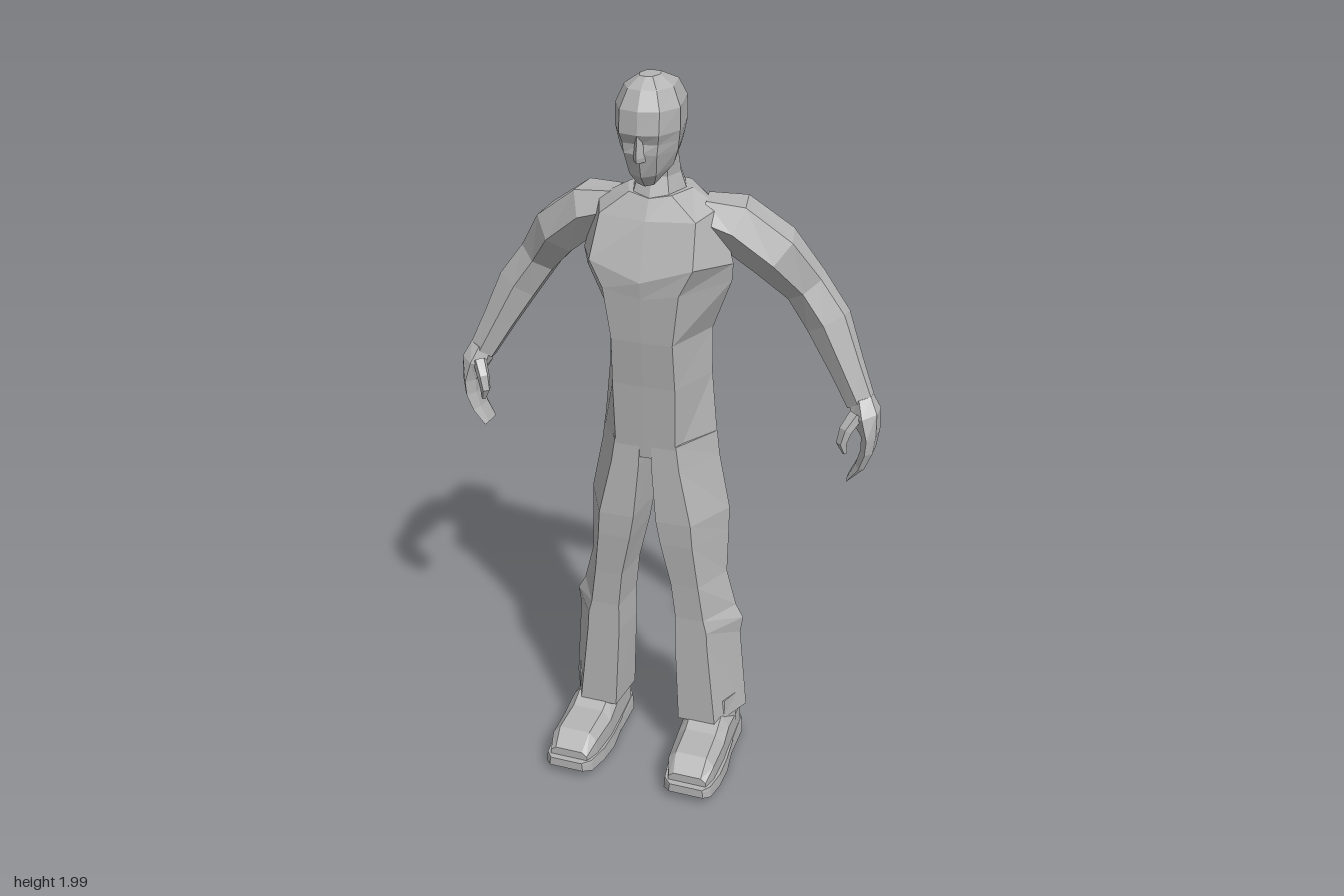
import * as THREE from 'three';

const grey = new THREE.MeshStandardMaterial({ color: 0xb4b4b4, flatShading: true });
grey.name = 'plain grey';

// Skin a list of equal-length point rings, cap both ends, and face it outwards
function loft(name, rings) {
  const n = rings[0].length, tris = [];
  for (let r = 0; r < rings.length - 1; r++) {
    for (let i = 0; i < n; i++) {
      const j = (i + 1) % n;
      const a = rings[r][i], b = rings[r][j], c = rings[r + 1][j], d = rings[r + 1][i];
      tris.push([a, b, c], [a, c, d]);
    }
  }
  [rings[0], rings[rings.length - 1]].forEach((ring, end) => {
    const mid = ring.reduce((s, p) => s.add(p), new THREE.Vector3()).divideScalar(n);
    for (let i = 0; i < n; i++) {
      const a = ring[i], b = ring[(i + 1) % n];
      tris.push(end ? [a, b, mid] : [b, a, mid]);
    }
  });
  const volume = tris.reduce((s, [a, b, c]) => s + a.dot(b.clone().cross(c)), 0);
  const points = tris.flatMap(([a, b, c]) => (volume < 0 ? [a, c, b] : [a, b, c]));
  const geometry = new THREE.BufferGeometry().setFromPoints(points);
  geometry.computeVertexNormals();
  const mesh = new THREE.Mesh(geometry, grey);
  mesh.name = name;
  return mesh;
}

// Symmetric horizontal ring: half outline of [x, z, rise] from front to back
function mirrorRing(y, half) {
  const right = half.map(([x, z, rise = 0]) => new THREE.Vector3(x, y + rise, z));
  const left = right.filter(p => p.x > 0).reverse().map(p => new THREE.Vector3(-p.x, p.y, p.z));
  return [...right, ...left];
}

// Limb along stations [x, y, z, thickness, depth], both as half sizes
function limb(name, stations, sides = 6) {
  const centres = stations.map(s => new THREE.Vector3(s[0], s[1], s[2]));
  return loft(name, stations.map((s, k) => {
    const dir = centres[Math.min(k + 1, centres.length - 1)].clone()
      .sub(centres[Math.max(k - 1, 0)]).normalize();
    const side = new THREE.Vector3().crossVectors(dir, new THREE.Vector3(0, 0, 1)).normalize();
    const deep = new THREE.Vector3().crossVectors(side, dir);
    return Array.from({ length: sides }, (_, i) => {
      const t = (i / sides) * Math.PI * 2;
      return centres[k].clone()
        .addScaledVector(deep, Math.cos(t) * s[4])
        .addScaledVector(side, Math.sin(t) * s[3] * 1.12);
    });
  }));
}

// Shoe piece along z: [z, centre x, bottom y, top y, bottom half width, top half width]
function shoePart(name, rows) {
  return loft(name, rows.map(([z, x, y0, y1, w0, w1]) => {
    const shoulder = y1 - (y1 - y0) * 0.3;
    return [[-w0, y0], [w0, y0], [w0 * 0.98, shoulder], [w1, y1], [-w1, y1], [-w0 * 0.98, shoulder]]
      .map(([dx, y]) => new THREE.Vector3(x + dx, y, z));
  }));
}

function makeArm() {
  const arm = new THREE.Group();
  arm.add(limb('sleeve', [
    [0.11, 1.635, -0.09, 0.045, 0.07], [0.19, 1.615, -0.105, 0.065, 0.085],
    [0.29, 1.54, -0.13, 0.066, 0.08], [0.365, 1.445, -0.168, 0.054, 0.058],
    [0.43, 1.355, -0.163, 0.056, 0.054], [0.485, 1.25, -0.143, 0.044, 0.042],
    [0.535, 1.155, -0.125, 0.036, 0.032],
  ]));
  arm.add(limb('hand', [
    [0.535, 1.17, -0.125, 0.03, 0.03], [0.55, 1.13, -0.12, 0.036, 0.052],
    [0.566, 1.075, -0.122, 0.02, 0.06], [0.563, 1.03, -0.118, 0.017, 0.055],
    [0.548, 0.985, -0.115, 0.014, 0.045], [0.518, 0.942, -0.113, 0.004, 0.036],
  ]));
  arm.add(limb('thumb', [
    [0.53, 1.135, -0.09, 0.018, 0.02], [0.51, 1.1, -0.065, 0.016, 0.018],
    [0.503, 1.065, -0.06, 0.013, 0.016], [0.512, 1.035, -0.065, 0.006, 0.009],
  ], 5));
  return arm;
}

function makeLeg() {
  const leg = new THREE.Group();
  // [y, inner x, front outer x, outer x, front z, side z, back z]
  const rows = [
    [1.03, 0.002, 0.085, 0.16, 0.042, -0.09, -0.133], [0.96, 0.004, 0.095, 0.168, 0.045, -0.09, -0.13],
    [0.8, 0.018, 0.13, 0.2, 0.05, -0.09, -0.132], [0.73, 0.03, 0.135, 0.2, 0.047, -0.088, -0.125],
    [0.6, 0.058, 0.15, 0.2, 0.036, -0.08, -0.108], [0.49, 0.07, 0.165, 0.228, 0.03, -0.085, -0.145],
    [0.45, 0.07, 0.175, 0.25, 0.03, -0.085, -0.155], [0.4, 0.07, 0.178, 0.243, 0.03, -0.085, -0.13],
    [0.14, 0.082, 0.205, 0.264, 0.03, -0.1, -0.145],
  ];
  leg.add(loft('trouserLeg', rows.map(([y, xi, xf, xo, zf, zs, zb]) => [
    [xi + 0.014, zf], [xf, zf], [xo, zs], [xo - 0.05, zb], [xi + 0.045, zb], [xi, zs],
  ].map(([x, z]) => new THREE.Vector3(x, y, z)))));

  leg.add(limb('ankle', [[0.175, 0.2, -0.065, 0.06, 0.075], [0.175, 0.1, -0.065, 0.06, 0.08]], 8));
  leg.add(shoePart('shoeUpper', [
    [-0.155, 0.172, 0.04, 0.12, 0.055, 0.04], [-0.12, 0.172, 0.04, 0.145, 0.07, 0.05],
    [0.0, 0.172, 0.04, 0.155, 0.07, 0.045], [0.06, 0.173, 0.035, 0.13, 0.072, 0.045],
    [0.16, 0.176, 0.04, 0.125, 0.068, 0.045], [0.205, 0.178, 0.045, 0.085, 0.056, 0.04],
  ]));
  leg.add(shoePart('sole', [
    [-0.03, 0.172, 0.015, 0.05, 0.074, 0.074], [0.05, 0.174, 0.003, 0.048, 0.08, 0.078],
    [0.13, 0.176, 0.015, 0.053, 0.08, 0.078], [0.2, 0.178, 0.025, 0.06, 0.07, 0.067],
    [0.223, 0.18, 0.033, 0.06, 0.05, 0.047],
  ]));
  leg.add(shoePart('heel', [
    [-0.175, 0.172, 0.012, 0.06, 0.048, 0.046], [-0.135, 0.172, 0.008, 0.06, 0.074, 0.07],
    [-0.02, 0.172, 0.008, 0.05, 0.074, 0.072],
  ]));
  return leg;
}

export function createModel() {
  const model = new THREE.Group();
  model.name = 'standingFigure';

  // Torso, from hips to the base of the neck, with a V-shaped chest line
  model.add(loft('torso', [
    mirrorRing(0.985, [[0, 0.04], [0.082, 0.04], [0.163, -0.09], [0.1, -0.133], [0, -0.13]]),
    mirrorRing(1.2, [[0, 0.057], [0.085, 0.055], [0.143, -0.09], [0.09, -0.14], [0, -0.14]]),
    mirrorRing(1.33, [[0, 0.073], [0.082, 0.07], [0.142, -0.09], [0.11, -0.165], [0, -0.165]]),
    mirrorRing(1.47, [[0, 0.08, -0.02], [0.1, 0.08], [0.195, -0.07], [0.14, -0.188], [0, -0.188]]),
    mirrorRing(1.52, [[0, 0.085, -0.025], [0.135, 0.078, 0.02], [0.2, -0.06], [0.135, -0.19], [0, -0.19]]),
    mirrorRing(1.64, [[0, 0.04], [0.125, 0.025, 0.005], [0.16, -0.07, 0.02], [0.11, -0.18], [0, -0.185]]),
    mirrorRing(1.7, [[0, 0.01, -0.01], [0.055, 0.0], [0.085, -0.08], [0.06, -0.15], [0, -0.165]]),
  ]));

  model.add(loft('neck', [
    mirrorRing(1.68, [[0, 0.012], [0.05, 0.0], [0.075, -0.08], [0.05, -0.15], [0, -0.165]]),
    mirrorRing(1.74, [[0, -0.01], [0.038, -0.02], [0.056, -0.075], [0.035, -0.13], [0, -0.145]]),
    mirrorRing(1.82, [[0, 0.0], [0.04, -0.01], [0.053, -0.05], [0.035, -0.09], [0, -0.1]]),
  ]));

  // Head, with the jaw rising towards the back
  model.add(loft('head', [
    mirrorRing(1.735, [[0, 0.04, -0.005], [0.022, 0.035], [0.036, 0.0, 0.02], [0.026, -0.04, 0.05], [0, -0.05, 0.055]]),
    mirrorRing(1.765, [[0, 0.07, -0.005], [0.034, 0.056], [0.06, 0.0, 0.015], [0.045, -0.07, 0.04], [0, -0.082, 0.045]]),
    mirrorRing(1.82, [[0, 0.088], [0.042, 0.075], [0.074, 0.01], [0.055, -0.09], [0, -0.098]]),
    mirrorRing(1.845, [[0, 0.084], [0.045, 0.076], [0.078, 0.015], [0.058, -0.1], [0, -0.108]]),
    mirrorRing(1.87, [[0, 0.099], [0.05, 0.086], [0.082, 0.02], [0.062, -0.105], [0, -0.113]]),
    mirrorRing(1.925, [[0, 0.094], [0.05, 0.08], [0.082, 0.02], [0.06, -0.107], [0, -0.114]]),
    mirrorRing(1.97, [[0, 0.07], [0.036, 0.06], [0.062, 0.01], [0.046, -0.08], [0, -0.088]]),
    mirrorRing(1.995, [[0, 0.035], [0.016, 0.03], [0.026, 0.0], [0.018, -0.03], [0, -0.034]]),
  ]));
  model.add(loft('nose', [
    mirrorRing(1.803, [[0, 0.102], [0.017, 0.075], [0, 0.06]]),
    mirrorRing(1.815, [[0, 0.106], [0.016, 0.08], [0, 0.06]]),
    mirrorRing(1.87, [[0, 0.099], [0.006, 0.088], [0, 0.07]]),
  ]));

  // Arms and legs, mirrored left and right
  for (const side of [1, -1]) {
    const word = side > 0 ? 'left' : 'right';
    for (const [limbName, make] of [['Arm', makeArm], ['Leg', makeLeg]]) {
      const group = make();
      group.name = word + limbName;
      if (side < 0) {
        group.children.forEach(({ geometry }) => {
          const p = geometry.attributes.position;
          for (let i = 0; i < p.count; i += 3) {
            const [a, b, c] = [0, 1, 2].map(k => new THREE.Vector3().fromBufferAttribute(p, i + k));
            [a, c, b].forEach((v, k) => p.setXYZ(i + k, -v.x, v.y, v.z));
          }
          geometry.computeVertexNormals();
        });
      }
      model.add(group);
    }
  }
  // Stand exactly on the ground
  const box = new THREE.Box3().setFromObject(model);
  model.children.forEach(part => { part.position.y -= box.min.y; });
  return model;
}
